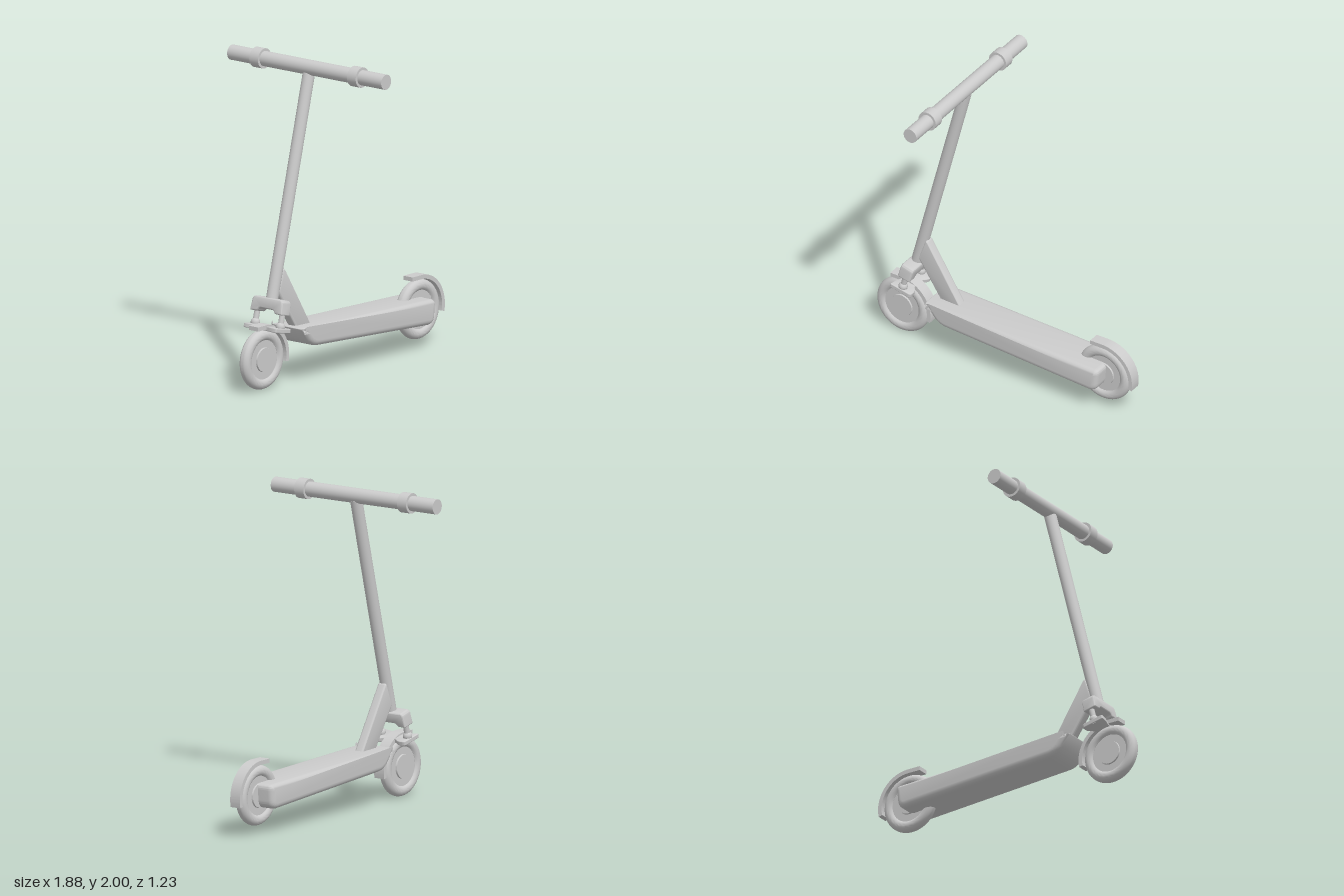
import * as THREE from 'three';
import { toCreasedNormals } from 'three/addons/utils/BufferGeometryUtils.js';

const material = new THREE.MeshStandardMaterial({ color: 0xcccccc });

function add(parent, name, geometry, x = 0, y = 0, z = 0) {
  const mesh = new THREE.Mesh(geometry, material);
  mesh.name = name;
  mesh.position.set(x, y, z);
  parent.add(mesh);
  return mesh;
}

// Polygon with rounded corners; each point is [x, y, radius]
function roundedShape(points) {
  const shape = new THREE.Shape();
  const n = points.length;
  points.forEach(([x, y, r], i) => {
    const p = new THREE.Vector2(x, y);
    const toward = ([a, b]) => new THREE.Vector2(a, b).sub(p).setLength(r).add(p);
    const a = toward(points[(i + n - 1) % n]);
    const b = toward(points[(i + 1) % n]);
    if (i === 0) shape.moveTo(a.x, a.y);
    else shape.lineTo(a.x, a.y);
    shape.quadraticCurveTo(x, y, b.x, b.y);
  });
  shape.closePath();
  return shape;
}

// Extrusion centred on z = 0, with bevels kept inside the outline
function slab(shape, width, bevel) {
  const geometry = new THREE.ExtrudeGeometry(shape, {
    depth: width - 2 * bevel, bevelEnabled: bevel > 0, bevelThickness: bevel,
    bevelSize: bevel, bevelOffset: -bevel, bevelSegments: 5, curveSegments: 24,
  });
  geometry.translate(0, 0, -(width - 2 * bevel) / 2);
  return toCreasedNormals(geometry, 0.6);
}

// Round bar along z
function barZ(radius, length) {
  return new THREE.CylinderGeometry(radius, radius, length, 40).rotateX(Math.PI / 2);
}

// Wheel: hub plate, recessed rim and round tyre in one profile
function wheelGeometry() {
  const half = [[0, 0.03], [0.074, 0.03], [0.076, 0.02], [0.122, 0.02]];
  const profile = half.map(([r, h]) => new THREE.Vector2(r, -h));
  for (let i = 0; i <= 20; i++) {
    const a = -2.5 + (5 * i) / 20;
    profile.push(new THREE.Vector2(0.151 + 0.036 * Math.cos(a), 0.036 * Math.sin(a)));
  }
  half.reverse().forEach(([r, h]) => profile.push(new THREE.Vector2(r, h)));
  return toCreasedNormals(new THREE.LatheGeometry(profile, 56).rotateX(Math.PI / 2), 0.5);
}

// Mudguard: arc over the wheel with a straight lip
function fenderGeometry(lip) {
  const shape = new THREE.Shape();
  shape.absarc(0, 0, 0.218, -0.21, Math.PI / 2, false);
  shape.lineTo(-lip, 0.218);
  shape.lineTo(-lip, 0.192);
  shape.absarc(0, 0, 0.192, Math.PI / 2, -0.21, true);
  shape.closePath();
  return slab(shape, 0.074, 0);
}

export function createModel() {
  const scooter = new THREE.Group();
  scooter.name = 'kickScooter';

  // Wheels and mudguards
  const wheel = wheelGeometry();
  add(scooter, 'frontWheel', wheel, -0.75, 0.188);
  add(scooter, 'rearWheel', wheel, 0.722, 0.235);
  add(scooter, 'frontFender', fenderGeometry(0.075), -0.75, 0.188);
  add(scooter, 'rearFender', fenderGeometry(0.087), 0.722, 0.235);

  // Deck with raked nose
  const deck = roundedShape([
    [-0.52, 0.352, 0.015], [-0.42, 0.226, 0.06], [0.735, 0.154, 0.06], [0.75, 0.312, 0.035],
  ]);
  add(scooter, 'deck', slab(deck, 0.276, 0.035));

  // Diagonal brace between deck and stem
  const brace = roundedShape([
    [-0.63, 0.59, 0.02], [-0.43, 0.29, 0.02], [-0.29, 0.29, 0.02], [-0.57, 0.74, 0.025],
  ]);
  add(scooter, 'stemBrace', slab(brace, 0.066, 0.015));

  // Handlebar and grip collars
  add(scooter, 'handlebar', barZ(0.047, 1.23), -0.3, 1.937);
  for (const side of [-1, 1]) {
    add(scooter, 'gripCollar', barZ(0.063, 0.07), -0.3, 1.937, side * 0.39);
  }

  // Raked steering column, built upright and then tilted
  const column = new THREE.Group();
  column.name = 'steeringColumn';
  column.position.set(-0.66, 0.51, 0);
  column.rotation.z = -0.252;
  scooter.add(column);
  add(column, 'stem', new THREE.CylinderGeometry(0.038, 0.038, 1.43, 32), 0, 0.735);

  // Fork crown: shallow arch across the stem
  const crown = roundedShape([
    [-0.127, -0.047, 0.008], [-0.07, -0.047, 0.012], [-0.055, -0.025, 0.012],
    [0.055, -0.025, 0.012], [0.07, -0.047, 0.012], [0.127, -0.047, 0.008],
    [0.118, 0.045, 0.025], [-0.118, 0.045, 0.025],
  ]);
  add(column, 'forkCrown', slab(crown, 0.09, 0.012).rotateY(Math.PI / 2));

  // Paired shock rods with ball ends
  for (const side of [-1, 1]) {
    const z = side * 0.1;
    add(column, 'shockRod', new THREE.CylinderGeometry(0.018, 0.018, 0.1, 20), 0, -0.08, z);
    add(column, 'shockBall', new THREE.SphereGeometry(0.029, 24, 16), 0, -0.118, z);
    add(column, 'shockFoot', new THREE.CylinderGeometry(0.022, 0.026, 0.03, 20), 0, -0.142, z);
  }

  // Waisted bridge plate above the front wheel
  const plate = roundedShape([
    [-0.078, -0.13, 0.01], [0.075, -0.13, 0.02], [0.075, -0.075, 0.02], [0.045, -0.04, 0.02],
    [0.045, 0.04, 0.02], [0.075, 0.075, 0.02], [0.075, 0.13, 0.02], [-0.078, 0.13, 0.01],
    [-0.07, 0.075, 0.02], [-0.055, 0.035, 0.02], [-0.055, -0.035, 0.02], [-0.07, -0.075, 0.02],
  ]);
  const bridge = add(scooter, 'bridgePlate', slab(plate, 0.028, 0.006).rotateX(-Math.PI / 2), -0.692, 0.373);
  bridge.rotation.z = -0.2;

  return scooter;
}
